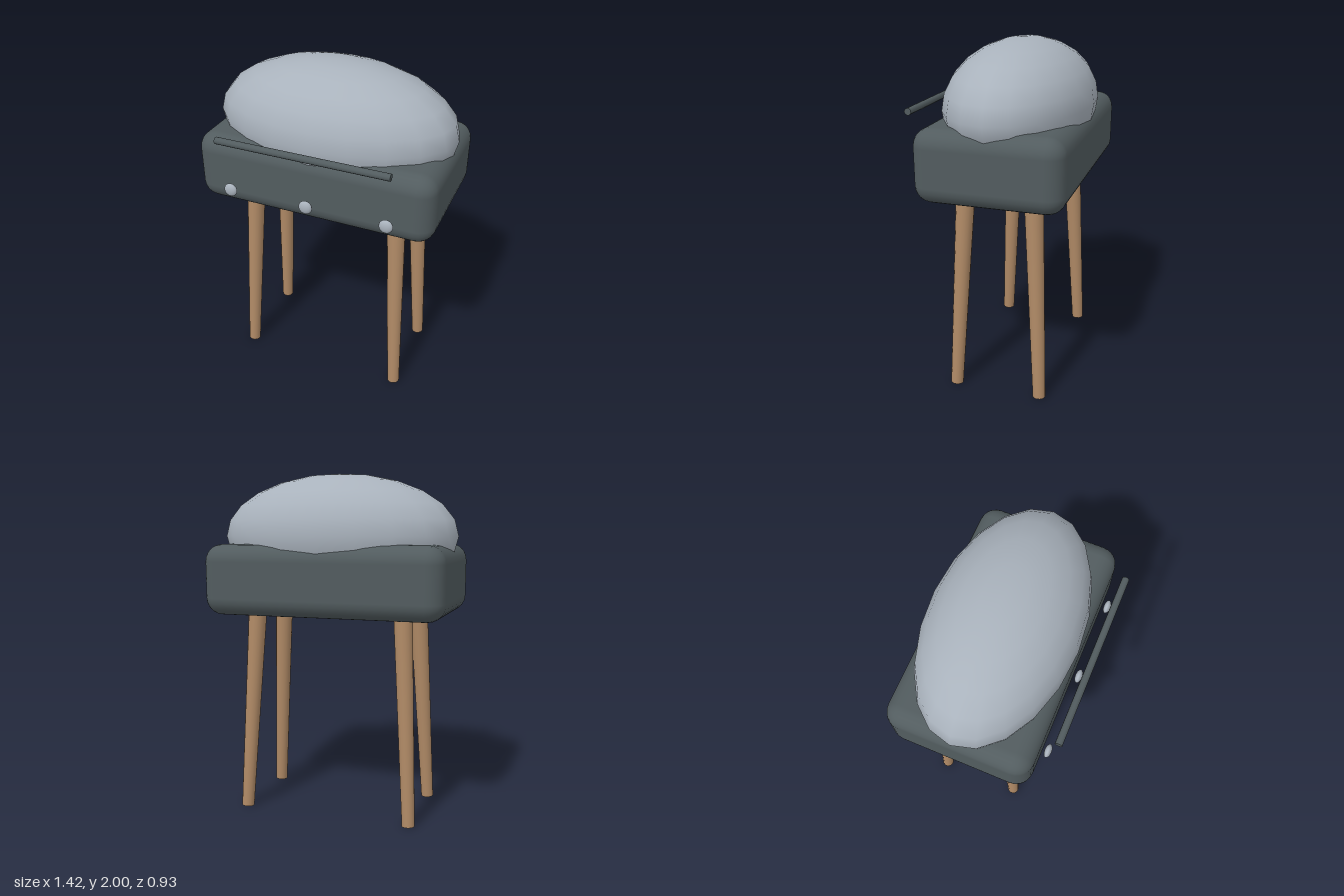
import * as THREE from 'three';
import { RoundedBoxGeometry } from 'three/addons/geometries/RoundedBoxGeometry.js';

const material = (name, color) => {
  const m = new THREE.MeshStandardMaterial({ color });
  m.name = name;
  return m;
};

export function createModel() {
  const model = new THREE.Group();
  const steel = material('pale steel', 0xa9b2bc);
  const iron = material('dark iron', 0x525c5f);
  const wood = material('wood', 0xb08a66);
  const midZ = -0.052; // centre of the body; handle and knobs stand in front

  const add = (name, geometry, mat, x, y, z) => {
    const mesh = new THREE.Mesh(geometry, mat);
    mesh.name = name;
    mesh.position.set(x, y, z);
    model.add(mesh);
    return mesh;
  };

  // Rounded firebox
  add('body', new RoundedBoxGeometry(1.41, 0.41, 0.83, 3, 0.1), iron, 0, 1.39, midZ);

  // Ellipsoid lid, its lower half sunk in the body
  add('lid', new THREE.SphereGeometry(1, 20, 12), steel, 0, 1.64, midZ).scale.set(0.71, 0.36, 0.415);

  // Handle bar
  add('handle', new THREE.CylinderGeometry(0.02, 0.02, 1, 12), iron, 0, 1.64, 0.447).rotation.z = Math.PI / 2;

  // Flattened knobs
  for (const x of [-0.467, 0, 0.467]) {
    add('knob', new THREE.SphereGeometry(0.04, 16, 12), steel, x, 1.307, 0.395).scale.z = 0.5;
  }

  // Splayed, tapered legs
  const up = new THREE.Vector3(0, 1, 0);
  for (const sx of [-1, 1]) {
    for (const sz of [-1, 1]) {
      const foot = new THREE.Vector3(sx * 0.505, 0.004, midZ + sz * 0.256);
      const top = new THREE.Vector3(sx * 0.444, 1.21, midZ + sz * 0.196);
      const axis = top.clone().sub(foot);
      const leg = add('leg', new THREE.CylinderGeometry(0.054, 0.037, axis.length(), 16), wood, 0, 0, 0);
      leg.position.copy(foot).add(top).multiplyScalar(0.5);
      leg.quaternion.setFromUnitVectors(up, axis.normalize());
    }
  }

  return model;
}
